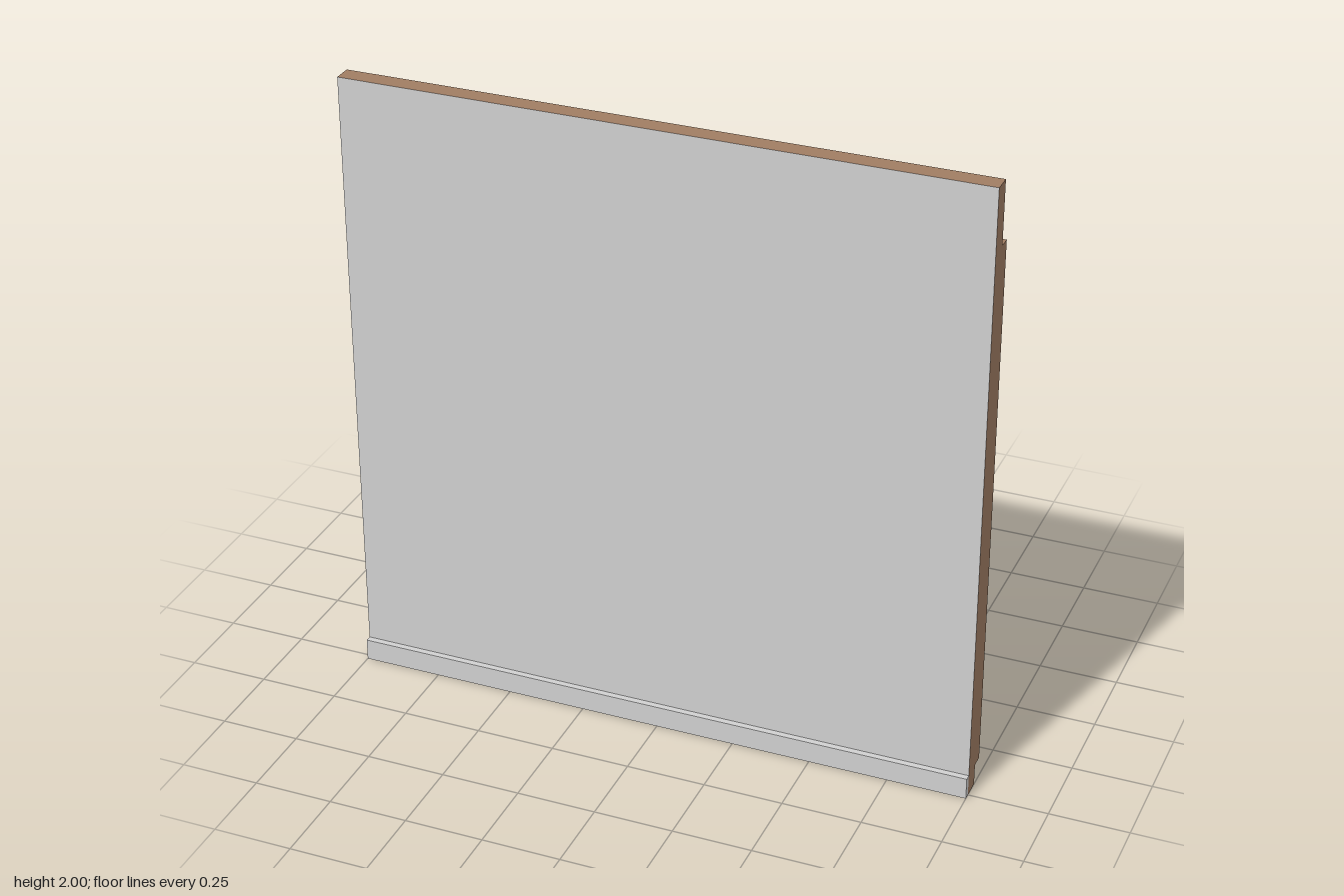
import * as THREE from 'three';

export function createModel() {
  const model = new THREE.Group();
  const wood = new THREE.MeshStandardMaterial({ color: 0xa07d63 });
  wood.name = 'wood';
  const paint = new THREE.MeshStandardMaterial({ color: 0xd0d0d0 });
  paint.name = 'greyPaint';

  // box given by its minimum and maximum corners
  function box(parent, name, [x0, y0, z0], [x1, y1, z1], material) {
    const mesh = new THREE.Mesh(new THREE.BoxGeometry(x1 - x0, y1 - y0, z1 - z0), material);
    mesh.position.set((x0 + x1) / 2, (y0 + y1) / 2, (z0 + z1) / 2);
    mesh.name = name;
    parent.add(mesh);
  }

  // wall sheet, painted on its front face only
  box(model, 'wallPanel', [-1, 0, 0.19], [1, 2, 0.25], [wood, wood, wood, wood, paint, wood]);
  box(model, 'skirtingBoard', [-1, 0, 0.25], [1, 0.07, 0.27], paint);

  const T = 0.03; // timber thickness
  const bottom = 0.07, top = 1.8, back = 0.15, sheet = 0.19;

  // side profile of the raking brace, drawn as (z, y)
  const profile = new THREE.Shape([
    [-0.27, 0], [-0.233, 0], [0.15, 1.62], [0.15, 1.77], [0.131, 1.77],
  ].map(([z, y]) => new THREE.Vector2(z, y)));

  for (const side of [-1, 1]) {
    const label = side > 0 ? 'left' : 'right';
    const cx = side * 0.5;

    // one half of the backing frame: three studs and four rails
    const frame = new THREE.Group();
    frame.name = label + 'Frame';
    for (const x of [cx - 0.5, cx - T / 2, cx + 0.5 - T]) {
      box(frame, 'stud', [x, bottom, back], [x + T, top, sheet], wood);
    }
    for (let i = 0; i < 4; i++) {
      const y = bottom + (top - bottom - T) * i / 3;
      for (const [x0, x1] of [[cx - 0.5 + T, cx - T / 2], [cx + T / 2, cx + 0.5 - T]]) {
        box(frame, 'rail', [x0, y, back], [x1, y + T, sheet], wood);
      }
    }
    model.add(frame);

    // raking brace with its horizontal strut
    const support = new THREE.Group();
    support.name = label + 'Support';
    const geometry = new THREE.ExtrudeGeometry(profile, { depth: T, bevelEnabled: false });
    geometry.rotateY(-Math.PI / 2); // profile z along +z, depth along -x
    geometry.translate(cx + T / 2, 0, 0);
    const brace = new THREE.Mesh(geometry, wood);
    brace.name = 'brace';
    support.add(brace);
    box(support, 'strut', [cx - T / 2 + 0.001, 0.37, -0.15], [cx + T / 2 - 0.001, 0.4, back], wood);
    model.add(support);
  }
  return model;
}
